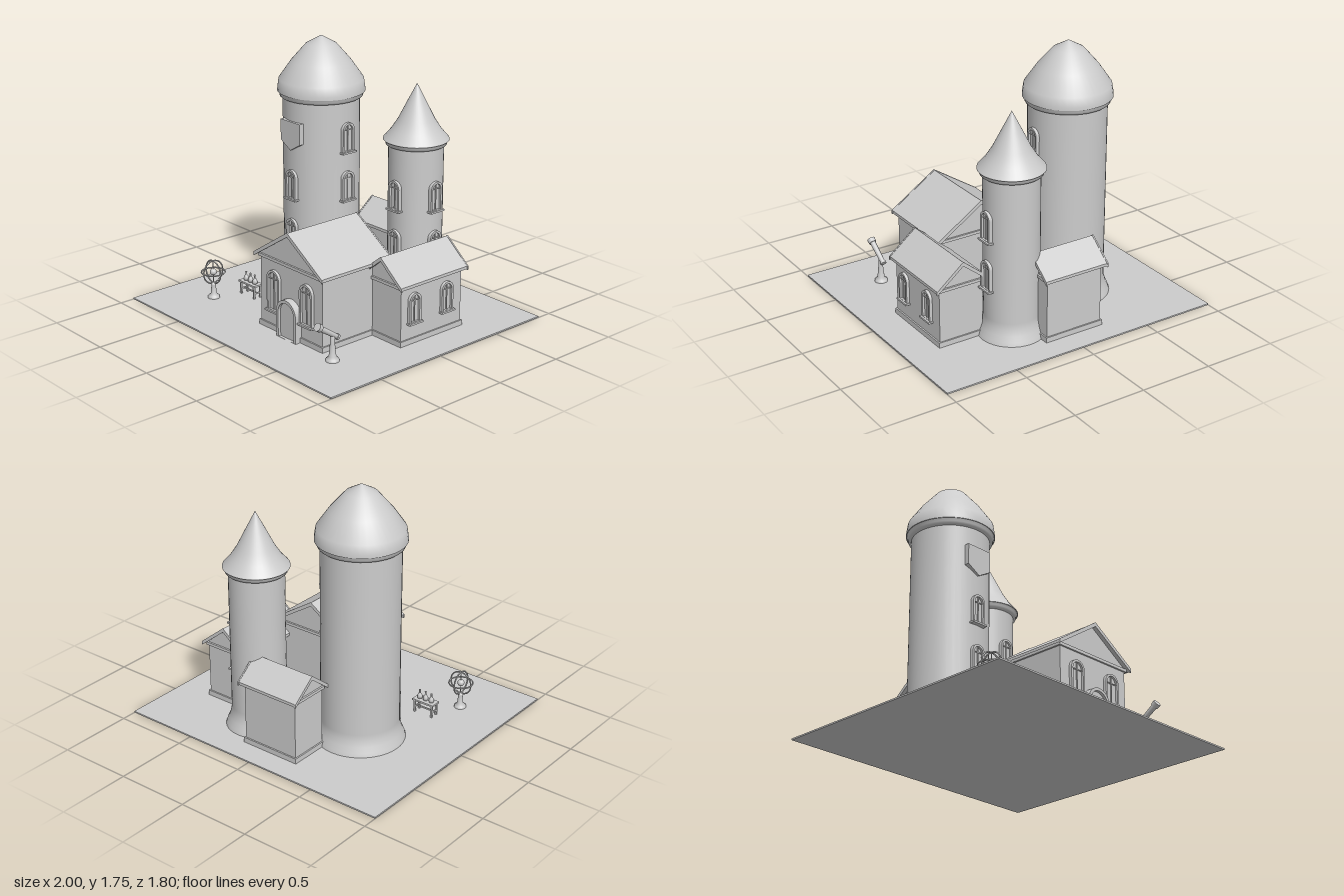
import * as THREE from 'three';

const stone = new THREE.MeshStandardMaterial({ color: 0xcccccc });
stone.name = 'plain stone grey';

function add(parent, name, geo, x = 0, y = 0, z = 0) {
  const m = new THREE.Mesh(geo, stone);
  m.name = name;
  m.position.set(x, y, z);
  parent.add(m);
  return m;
}
function group(parent, name, x = 0, y = 0, z = 0, ry = 0) {
  const g = new THREE.Group();
  g.name = name;
  g.position.set(x, y, z);
  g.rotation.y = ry;
  parent.add(g);
  return g;
}
const box = (w, h, d) => new THREE.BoxGeometry(w, h, d);
const lathe = (pts, n = 40) => new THREE.LatheGeometry(pts.map(p => new THREE.Vector2(...p)), n);
const poly = pts => new THREE.Shape(pts.map(p => new THREE.Vector2(...p)));
const extrude = (shape, depth) => new THREE.ExtrudeGeometry(shape, { depth, bevelEnabled: false, curveSegments: 10 });

// Round-headed outline standing on y = base
function arch(w, h, base = 0, C = THREE.Shape) {
  const r = w / 2, s = new C();
  s.moveTo(-r, base);
  s.lineTo(r, base);
  s.lineTo(r, h - r);
  s.absarc(0, h - r, r, 0, Math.PI, false);
  s.lineTo(-r, base);
  return s;
}

// Arched window with frame, glazing bars and sill; wall plane at z = 0, facing +z
function windowAt(parent, x, y, z, ry, w = 0.1, h = 0.2) {
  const g = group(parent, 'archedWindow', x, y, z, ry);
  const frame = arch(w, h);
  frame.holes.push(arch(w - 0.03, h - 0.015, 0.008, THREE.Path));
  add(g, 'windowFrame', extrude(frame, 0.035), 0, 0, -0.015);
  add(g, 'windowPane', extrude(arch(w - 0.02, h - 0.01), 0.01), 0, 0, -0.005);
  add(g, 'verticalBar', box(0.006, h - 0.02, 0.008), 0, h / 2, 0.008);
  add(g, 'crossBar', box(w - 0.025, 0.006, 0.008), 0, h - w / 2, 0.008);
  add(g, 'windowSill', box(w + 0.015, 0.012, 0.05), 0, 0, 0.008);
}

// Arched door with a raised surround
function doorAt(parent, x, z, w, h, depth) {
  const g = group(parent, 'archedDoor', x, 0.01, z);
  const frame = arch(w, h);
  frame.holes.push(arch(w - 0.04, h - 0.02, 0.001, THREE.Path));
  add(g, 'doorFrame', extrude(frame, depth), 0, 0, -0.03);
  add(g, 'doorLeaf', extrude(arch(w - 0.03, h - 0.015), depth - 0.02), 0, 0, -0.03);
}

// Gabled building, ridge along z: w x d walls under a wider roof
function house(parent, name, x, z, ry, w, d, eave, ridge, over) {
  const g = group(parent, name, x, 0, z, ry);
  const t = 0.02, hw = w / 2, rw = hw + over, rd = d + over * 2;
  const slope = (ridge - eave - t) / rw, wallTop = ridge - t - slope * hw;
  add(g, 'gabledWalls', extrude(poly([[-hw, 0.01], [hw, 0.01], [hw, wallTop], [0, ridge - t], [-hw, wallTop]]), d), 0, 0, -d / 2);
  add(g, 'plinth', box(w + 0.02, 0.035, d + 0.02), 0, 0.0275, 0);
  add(g, 'cornice', box(w + 0.025, 0.02, d + 0.025), 0, eave + 0.005, 0);
  const chevron = (e, k) => poly([[-rw - e, eave + t], [0, ridge + e], [rw + e, eave + t],
    [rw + e, eave - k], [0, ridge - t - k], [-rw - e, eave - k]]);
  add(g, 'roof', extrude(chevron(0, 0), rd), 0, 0, -rd / 2);
  for (const s of [-1, 1])
    add(g, 'bargeBoard', extrude(chevron(0.003, 0.006), 0.01), 0, 0, s * (rd / 2 - 0.003) - 0.005);
  return g;
}

// Round tower with flared foot, collar and lathed roof
function tower(parent, name, x, z, r, foot, top, roofPts) {
  const g = group(parent, name, x, 0, z);
  add(g, 'towerShaft', lathe([[foot, 0.01], [foot - 0.008, 0.035], [r + (foot - r) * 0.4, 0.07], [r + 0.004, 0.11], [r, 0.15], [r, top]]));
  const [er, ey] = roofPts[0];
  add(g, 'collar', lathe([[r - 0.005, top - 0.01], [r + 0.018, top - 0.003], [r + 0.022, top + 0.012], [er - 0.005, ey]]));
  add(g, 'eaveUnderside', lathe([[0, ey], [er, ey]]));
  add(g, 'towerRoof', lathe(roofPts));
  return g;
}

export function createModel() {
  const model = new THREE.Group();
  model.name = 'observatoryKeep';
  add(model, 'ground', box(2, 0.01, 1.8), 0, 0.005, 0);

  // Large domed tower
  const big = tower(model, 'largeTower', -0.345, -0.2, 0.255, 0.295, 1.36,
    [[0.29, 1.39], [0.289, 1.41], [0.28, 1.47], [0.2, 1.585], [0.1, 1.7], [0, 1.755]]);
  for (const y of [0.35, 0.69]) windowAt(big, 0, y, 0.253, 0);
  for (const y of [0.69, 1.02]) windowAt(big, 0.253, y, 0, Math.PI / 2);
  doorAt(big, 0, 0.265, 0.2, 0.295, 0.07);
  add(big, 'shieldPlaque', extrude(poly([[-0.095, 1.22], [-0.095, 1.08], [0, 1.025], [0.095, 1.08], [0.095, 1.22]]), 0.035), 0, 0, 0.235);

  // Small spired tower
  const small = tower(model, 'smallTower', 0.265, -0.48, 0.18, 0.22, 1.11,
    [[0.215, 1.137], [0.213, 1.145], [0.165, 1.2], [0.12, 1.27], [0.06, 1.39], [0, 1.507]]);
  for (const y of [0.355, 0.69]) {
    windowAt(small, 0, y, 0.178, 0);
    windowAt(small, 0.178, y, 0, Math.PI / 2);
  }

  // Great hall
  const hall = house(model, 'greatHall', 0.198, 0.263, 0, 0.595, 0.525, 0.487, 0.72, 0.03);
  for (const s of [-1, 1]) windowAt(hall, s * 0.158, 0.145, 0.263, 0, 0.12, 0.277);
  doorAt(hall, 0.002, 0.27, 0.19, 0.265, 0.07);

  // Side wing
  const wing = house(model, 'sideWing', 0.598, -0.155, 0, 0.315, 0.525, 0.397, 0.57, 0.03);
  for (const z of [0.155, -0.127]) windowAt(wing, 0.1575, 0.15, z, Math.PI / 2);

  // Rear annex, ridge running sideways
  house(model, 'rearAnnex', -0.04, -0.597, Math.PI / 2, 0.265, 0.41, 0.432, 0.582, 0.03);

  // Ringed sky globe on a stand
  const globe = group(model, 'ringedGlobe', -0.652, 0, 0.49);
  add(globe, 'globeStand', lathe([[0.04, 0.01], [0.038, 0.025], [0.02, 0.04], [0.015, 0.1], [0.02, 0.115], [0, 0.12]], 16));
  add(globe, 'globeAxis', new THREE.CylinderGeometry(0.003, 0.003, 0.17, 6), 0, 0.19, 0);
  add(globe, 'globeCore', new THREE.SphereGeometry(0.023, 16, 12), 0, 0.192, 0);
  for (const [rx, ry] of [[0, 0], [0, Math.PI / 2], [Math.PI / 2, 0]])
    add(globe, 'globeRing', new THREE.TorusGeometry(0.079, 0.005, 6, 28), 0, 0.192, 0).rotation.set(rx, ry, 0);

  // Table with bottles
  const table = group(model, 'bottleTable', -0.517, 0, 0.282);
  add(table, 'tableTop', box(0.165, 0.012, 0.075), 0, 0.1, 0);
  for (const x of [-0.068, 0.068]) {
    for (const z of [-0.026, 0.026]) add(table, 'tableLeg', box(0.012, 0.086, 0.012), x, 0.052, z);
    add(table, 'sideRail', box(0.008, 0.01, 0.05), x, 0.045, 0);
  }
  add(table, 'stretcher', box(0.13, 0.01, 0.008), 0, 0.045, 0);
  for (const x of [-0.046, 0, 0.046])
    add(table, 'bottle', lathe([[0, 0.106], [0.016, 0.107], [0.018, 0.122], [0.013, 0.136], [0.006, 0.146], [0.006, 0.164], [0.008, 0.168], [0, 0.169]], 12), x, 0, 0);

  // Telescope on a pedestal
  const scope = group(model, 'telescope', 0.625, 0, 0.557);
  add(scope, 'pedestal', lathe([[0.044, 0.01], [0.042, 0.025], [0.024, 0.04], [0.016, 0.12], [0.014, 0.19], [0, 0.195]], 16));
  const tube = group(scope, 'telescopeTube', 0, 0.21, 0.036);
  tube.rotation.x = 0.975;
  add(tube, 'barrel', new THREE.CylinderGeometry(0.019, 0.016, 0.17, 16));
  add(tube, 'lensHood', new THREE.CylinderGeometry(0.027, 0.025, 0.03, 16), 0, 0.09, 0);
  add(tube, 'eyepiece', new THREE.CylinderGeometry(0.02, 0.02, 0.015, 16), 0, -0.088, 0);
  return model;
}

// The eave undersides and collars face both ways
stone.side = THREE.DoubleSide;
